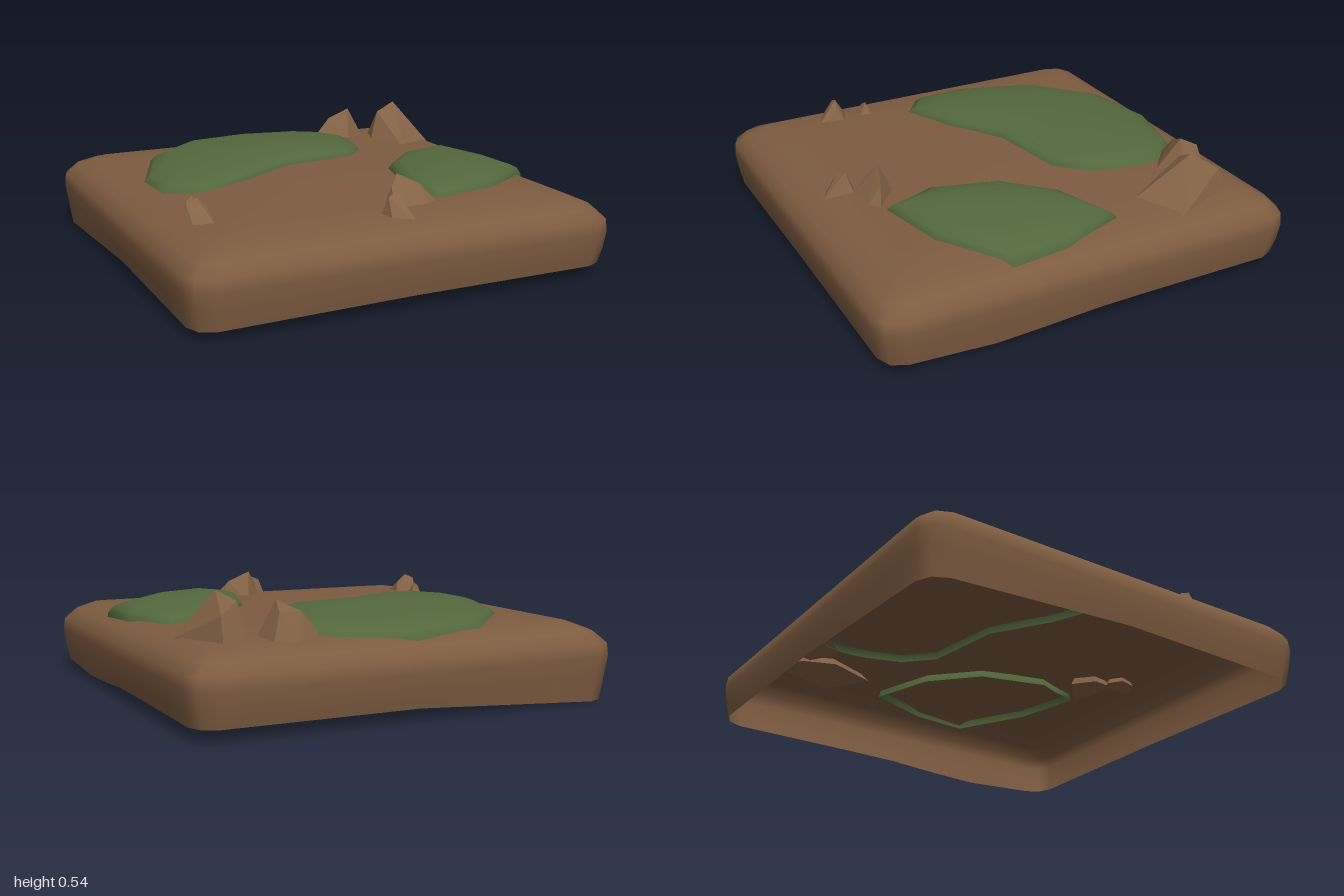
import * as THREE from 'three';
import { ConvexGeometry } from 'three/addons/geometries/ConvexGeometry.js';

const earth = new THREE.MeshStandardMaterial({ color: 0x7d5c40, side: THREE.DoubleSide });
const grass = new THREE.MeshStandardMaterial({ color: 0x53683c, side: THREE.DoubleSide });
const stone = new THREE.MeshStandardMaterial({ color: 0x856446, flatShading: true });

// Gently domed ground height
const ground = (x, z) => 0.385 - 0.035 * (Math.max(Math.abs(x), Math.abs(z)) / 0.88) ** 2;

// Skin closed rings from the bottom up and close the last one at a centre point
function loft(rings, centre) {
  const n = rings[0].length, index = [];
  rings.forEach((ring, i) => {
    for (let j = 0; j < n; j++) {
      const k = (j + 1) % n, a = i * n + j, b = i * n + k;
      if (i < rings.length - 1) index.push(a, b, b + n, a, b + n, a + n);
      else index.push(a, b, rings.length * n);
    }
  });
  const geometry = new THREE.BufferGeometry();
  geometry.setAttribute('position', new THREE.Float32BufferAttribute([...rings.flat(2), ...centre], 3));
  geometry.setIndex(index);
  geometry.computeVertexNormals();
  return geometry;
}

// Hollow earth slab: rounded square rings with an uneven lower edge
function slab() {
  const side = [-0.9, -0.7, -0.5, -0.25, 0, 0.25, 0.5, 0.7, 0.9].map(t => [1, -t]);
  side.push([0.97, -0.97]);
  const outline = [];
  for (let q = 0; q < 4; q++) {
    for (let [x, z] of side) {
      for (let i = 0; i < q; i++) [x, z] = [z, -x];
      outline.push([x, z]);
    }
  }
  const bottom = (x, z) => 0.06 - 0.06 * Math.max(0, -x) * Math.max(0, -z)
    - 0.028 * Math.max(0, x) * Math.exp(-(((z - 0.45) / 0.3) ** 2))
    - 0.015 * Math.max(0, z) * Math.max(0, -x);
  const ring = (s, height) => outline.map(([x, z]) => [x * s, height(x * s, z * s), z * s]);
  const rings = [
    ring(0.975, bottom),
    ring(0.99, () => 0.13),
    ring(1, () => 0.21),
    ring(0.995, () => 0.265),
    ring(0.95, () => 0.315),
    ...[0.87, 0.7, 0.5, 0.25].map(s => ring(s, ground)),
  ];
  return loft(rings, [0, ground(0, 0), 0]);
}

// Domed grass patch whose rim sinks into the ground
function patch(outline, cx, cz) {
  const layers = [[1, -0.035], [0.985, 0], [0.93, 0.026], [0.82, 0.043], [0.6, 0.056], [0.3, 0.064]];
  const rings = layers.map(([s, lift]) => [...outline].reverse().map(([px, pz]) => {
    const x = cx + (px - cx) * s, z = cz + (pz - cz) * s;
    return [x, ground(x, z) + lift, z];
  }));
  return loft(rings, [cx, ground(cx, cz) + 0.066, cz]);
}

// Faceted rock from a base outline and its peaks
function rock(base, peaks) {
  const points = base.map(([x, z]) => new THREE.Vector3(x, 0.335, z));
  peaks.forEach(p => points.push(new THREE.Vector3(...p)));
  return new ConvexGeometry(points);
}

export function createModel() {
  const model = new THREE.Group();
  const add = (name, geometry, material) => {
    const mesh = new THREE.Mesh(geometry, material);
    mesh.name = name;
    model.add(mesh);
  };

  add('groundSlab', slab(), earth);

  add('largeGrassPatch', patch([
    [-0.38, -0.85], [-0.02, -0.92], [0.3, -0.83], [0.42, -0.7], [0.45, -0.6], [0.45, -0.48], [0.4, -0.3],
    [0.28, -0.17], [-0.1, -0.11], [-0.37, 0.05], [-0.65, 0.15], [-0.79, 0.05], [-0.8, -0.2], [-0.65, -0.57],
  ], -0.15, -0.42), grass);
  add('smallGrassPatch', patch([
    [0.8, -0.2], [0.9, 0.1], [0.92, 0.38], [0.62, 0.6], [0.28, 0.67], [0.25, 0.54], [0.22, 0.45],
    [0.32, 0.13], [0.52, -0.08],
  ], 0.6, 0.27), grass);

  // Two large rocks at the back left
  add('largeRock', rock(
    [[0.65, -0.72], [0.79, -0.79], [0.9, -0.47], [0.68, -0.33], [0.59, -0.56]],
    [[0.75, 0.55, -0.6], [0.66, 0.5, -0.61], [0.78, 0.46, -0.74]]), stone);
  add('mediumRock', rock(
    [[0.32, -0.74], [0.48, -0.84], [0.59, -0.82], [0.62, -0.69], [0.48, -0.6]],
    [[0.53, 0.51, -0.71], [0.43, 0.46, -0.74], [0.55, 0.47, -0.79]]), stone);

  // Pebbles along the front
  add('frontRock', rock(
    [[0.02, 0.63], [0.12, 0.55], [0.28, 0.69], [0.2, 0.73], [0.03, 0.73]],
    [[0.09, 0.49, 0.62], [0.19, 0.44, 0.65], [0.05, 0.44, 0.65]]), stone);
  add('frontPebble', rock(
    [[-0.06, 0.74], [0, 0.7], [0.07, 0.72], [0.05, 0.88], [-0.04, 0.83]],
    [[0.02, 0.45, 0.75], [-0.03, 0.43, 0.77]]), stone);

  // Pebbles at the front right
  add('sideRock', rock(
    [[-0.86, 0.5], [-0.81, 0.42], [-0.71, 0.46], [-0.73, 0.61], [-0.82, 0.57]],
    [[-0.78, 0.45, 0.49], [-0.83, 0.43, 0.49], [-0.74, 0.41, 0.5]]), stone);
  add('sidePebble', rock(
    [[-0.8, 0.39], [-0.78, 0.31], [-0.71, 0.31], [-0.72, 0.39]],
    [[-0.75, 0.42, 0.34], [-0.78, 0.4, 0.35]]), stone);

  return model;
}
